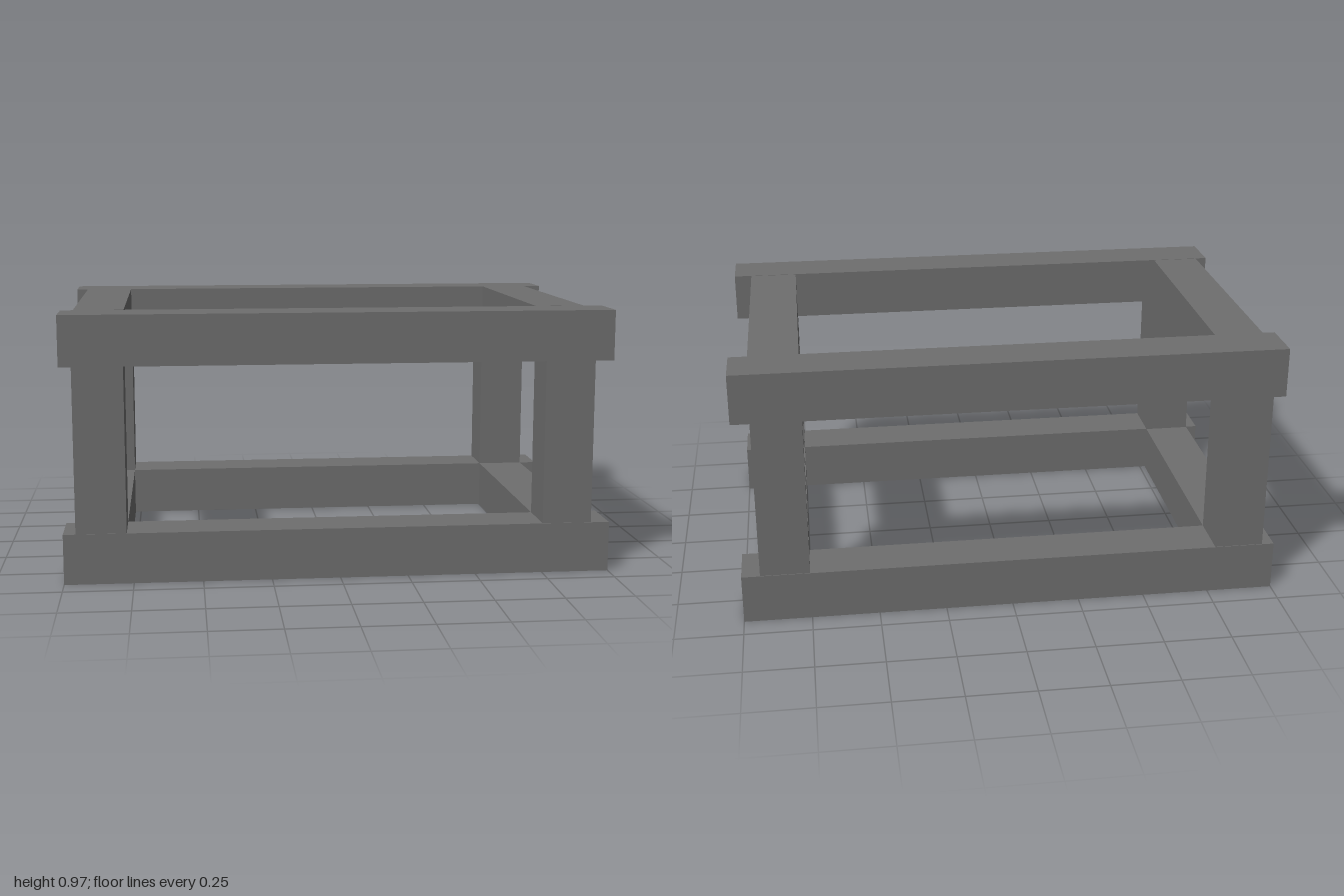
import * as THREE from 'three';

export function createModel() {
  const group = new THREE.Group();
  const material = new THREE.MeshStandardMaterial({ color: 0x6f6f6f, flatShading: true });

  // Box beam spanning the given [min, max] ranges
  const beam = (name, x, y, z) => {
    const size = [x, y, z].map(([a, b]) => b - a);
    const mesh = new THREE.Mesh(new THREE.BoxGeometry(...size), material);
    mesh.name = name;
    mesh.position.set(...[x, y, z].map(([a, b]) => (a + b) / 2));
    group.add(mesh);
  };

  const levels = { lower: [0, 0.185], upper: [0.788, 0.972] };
  const rails = { Front: [0.478, 0.66], Back: [-0.66, -0.479] };
  const posts = { front: [0.478, 0.657], back: [-0.657, -0.479] };
  const sides = { Right: [-0.955, -0.773], Left: [0.75, 0.932] };

  // Long rails and the short crossbars between them
  for (const [level, y] of Object.entries(levels)) {
    for (const [end, z] of Object.entries(rails)) beam(`${level}${end}Rail`, [-1, 1], y, z);
    for (const [side, x] of Object.entries(sides)) beam(`${level}${side}Crossbar`, x, y, [-0.479, 0.474]);
  }

  // Upright posts between the rails, set back slightly from their faces
  for (const [end, z] of Object.entries(posts))
    for (const [side, x] of Object.entries(sides)) beam(`${end}${side}Post`, x, [0.185, 0.788], z);

  return group;
}
